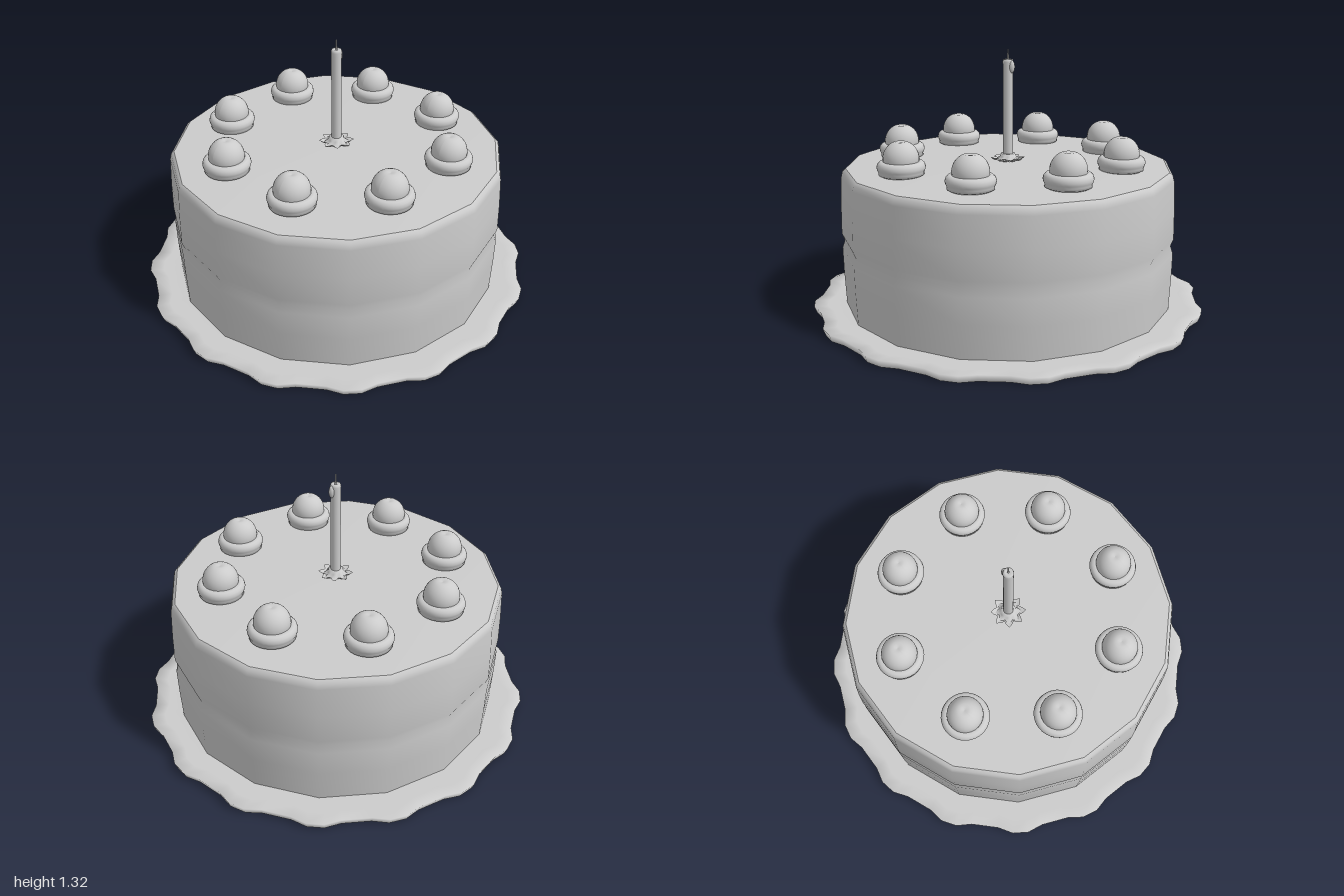
import * as THREE from 'three';

const material = new THREE.MeshStandardMaterial({ color: 0xcccccc, side: THREE.DoubleSide });

function mesh(name, geometry, x = 0, y = 0, z = 0) {
  const m = new THREE.Mesh(geometry, material);
  m.name = name;
  m.position.set(x, y, z);
  return m;
}

function lathe(points, segments) {
  return new THREE.LatheGeometry(points.map(([r, y]) => new THREE.Vector2(r, y)), segments);
}

// Sheet joining closed rings; each ring is a function of the angle giving [radius, height]
function ringSheet(rings, angles) {
  const positions = [], index = [], n = angles.length;
  for (const ring of rings) {
    angles.forEach((a, i) => {
      const [r, y] = ring(i);
      positions.push(r * Math.sin(a), y, r * Math.cos(a));
    });
  }
  for (let j = 0; j < rings.length - 1; j++) {
    for (let i = 0; i < n; i++) {
      const a = j * n + i, b = j * n + (i + 1) % n, c = a + n, d = b + n;
      index.push(a, c, b, b, c, d);
    }
  }
  const g = new THREE.BufferGeometry();
  g.setAttribute('position', new THREE.Float32BufferAttribute(positions, 3));
  g.setIndex(index);
  g.computeVertexNormals();
  return g;
}

// Scalloped board: sixteen flat-ended bumps, with a lip turned down
function createBoard() {
  const angles = [], wave = [], inner = [];
  const bump = [[-2.4, 1], [2.4, 1], [7, 0.972], [15.5, 0.972]];
  for (let k = 0; k < 16; k++) {
    for (const [deg, r] of bump) {
      const local = THREE.MathUtils.degToRad(deg);
      angles.push(k * Math.PI / 8 + local);
      wave.push(r);
      // stay on the straight side of the sixteen-sided cake
      const fromMiddle = ((deg + 22.5) % 22.5 - 11.25) * Math.PI / 180;
      inner.push(0.835 * Math.cos(Math.PI / 16) / Math.cos(fromMiddle));
    }
  }
  return ringSheet([
    i => [inner[i], 0.036],
    i => [wave[i] - 0.07, 0.034],
    i => [wave[i], 0.037],
    i => [wave[i] - 0.014, 0],
  ], angles);
}

// Eight-petalled holder under the candle
function createHolder() {
  const angles = [];
  for (let i = 0; i < 32; i++) angles.push(i * Math.PI / 16);
  const petal = i => 0.074 + 0.014 * Math.cos(i * Math.PI / 2);
  return ringSheet([
    () => [0.024, 0.795],
    () => [0.036, 0.795],
    () => [0.04, 0.78],
    i => [petal(i) * 0.8, 0.763],
    i => [petal(i), 0.775],
    () => [0.04, 0.757],
  ], angles);
}

// Cherry: a sphere with a small dimple on top
function createCherry() {
  const g = new THREE.SphereGeometry(0.088, 24, 18);
  const p = g.attributes.position;
  for (let i = 0; i < p.count; i++) {
    const r = Math.hypot(p.getX(i), p.getZ(i));
    if (p.getY(i) > 0) p.setY(i, p.getY(i) - 0.012 * Math.exp(-((r / 0.018) ** 2)));
  }
  g.computeVertexNormals();
  return g;
}

export function createModel() {
  const cake = new THREE.Group();
  cake.name = 'cake';

  // Hollow two-layer body, open below
  cake.add(mesh('cakeSide', lathe([
    [0.835, 0.036], [0.843, 0.2], [0.846, 0.33], [0.833, 0.37],
    [0.847, 0.405], [0.845, 0.55], [0.838, 0.7], [0.831, 0.728], [0.815, 0.741],
  ], 16)));
  cake.add(mesh('cakeTop', lathe([[0.815, 0.741], [0.5, 0.75], [0, 0.756]], 16)));
  cake.add(mesh('board', createBoard()));

  // Ring of cream rosettes topped with cherries
  const cream = lathe([
    [0.07, 0.742], [0.095, 0.744], [0.11, 0.752], [0.109, 0.763], [0.115, 0.775],
    [0.118, 0.788], [0.114, 0.803], [0.104, 0.813], [0.09, 0.816], [0.06, 0.812],
  ], 32);
  const cherry = createCherry();
  for (let k = 0; k < 8; k++) {
    const a = THREE.MathUtils.degToRad(24.5 + 45 * k);
    const topping = new THREE.Group();
    topping.name = 'topping';
    topping.position.set(0.58 * Math.cos(a), 0, 0.58 * Math.sin(a));
    topping.add(mesh('cream', cream), mesh('cherry', cherry, 0, 0.827, 0));
    cake.add(topping);
  }

  // Candle with its holder, wick and a wax drip on its left
  const candle = new THREE.Group();
  candle.name = 'candle';
  candle.add(mesh('candleHolder', createHolder()));
  candle.add(mesh('candleStick', lathe([
    [0.025, 0.756], [0.025, 1.24], [0.027, 1.258], [0.024, 1.27], [0.015, 1.272], [0, 1.266],
  ], 16)));
  candle.add(mesh('wick', new THREE.CylinderGeometry(0.003, 0.005, 0.06, 8), 0, 1.29, 0));
  const drip = mesh('waxDrip', new THREE.SphereGeometry(0.015, 12, 10), 0.024, 1.235, 0);
  drip.scale.y = 2.1;
  candle.add(drip);
  cake.add(candle);

  return cake;
}
